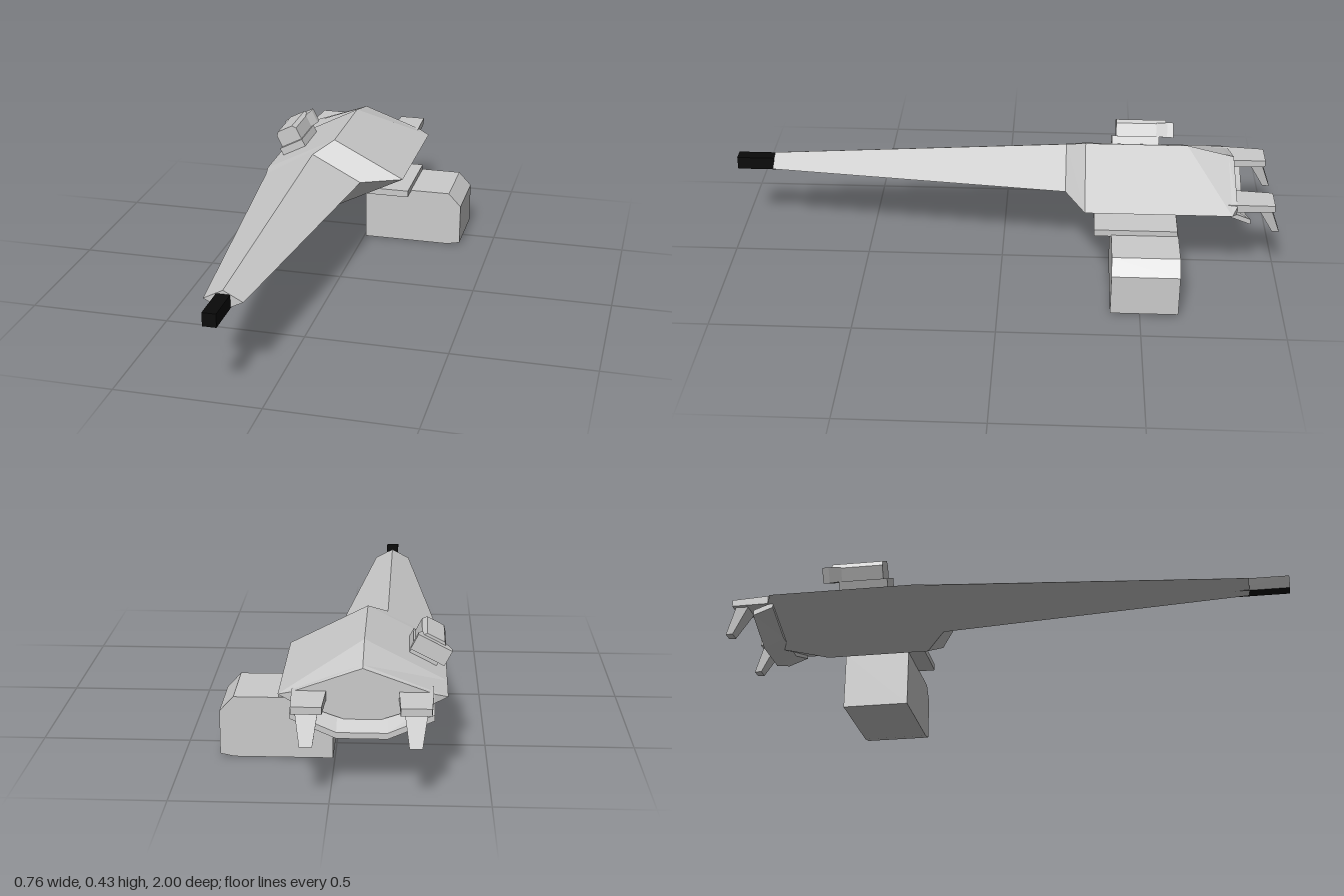
import * as THREE from 'three';

const grey = new THREE.MeshStandardMaterial({ color: 0xcccccc, flatShading: true });
const black = new THREE.MeshStandardMaterial({ color: 0x0a0a0a, flatShading: true });
const CX = -0.097; // centre line of the hull

// Skins a row of sections { z, ring }, front to back; rings run counter-clockwise seen from +z
function loft(name, sections, material = grey) {
  const pos = [];
  const put = (s, j) => pos.push(...s.ring[j % s.ring.length], s.z);
  const n = sections[0].ring.length;
  for (let i = 0; i + 1 < sections.length; i++) {
    const a = sections[i], b = sections[i + 1];
    for (let j = 0; j < n; j++) {
      put(a, j); put(b, j); put(a, j + 1);
      put(a, j + 1); put(b, j); put(b, j + 1);
    }
  }
  const cap = (s, order) => {
    const tris = THREE.ShapeUtils.triangulateShape(s.ring.map(([x, y]) => new THREE.Vector2(x, y)), []);
    for (const t of tris) for (const k of order) put(s, t[k]);
  };
  cap(sections[0], [0, 1, 2]);
  cap(sections[sections.length - 1], [0, 2, 1]);
  const geo = new THREE.BufferGeometry();
  geo.setAttribute('position', new THREE.Float32BufferAttribute(pos, 3));
  geo.computeVertexNormals();
  const mesh = new THREE.Mesh(geo, material);
  mesh.name = name;
  return mesh;
}

const rect = (x0, x1, y0, y1) => [[x0, y0], [x1, y0], [x1, y1], [x0, y1]];

function box(name, x0, x1, y0, y1, z0, z1, material = grey) {
  const mesh = new THREE.Mesh(new THREE.BoxGeometry(x1 - x0, y1 - y0, z1 - z0), material);
  mesh.position.set((x0 + x1) / 2, (y0 + y1) / 2, (z0 + z1) / 2);
  mesh.name = name;
  return mesh;
}

// Diamond hull section whose side corners can be clipped by side half-height e
function diamond(z, cx, w, top, bottom, e = 0) {
  const y = 0.29;
  return { z, ring: [[cx + w, y - e], [cx + w, y + e], [cx, top], [cx - w, y + e], [cx - w, y - e], [cx, bottom]] };
}

// Tail plate with a slanted claw below its end
function tailClaw(x) {
  const g = new THREE.Group();
  g.name = 'tailClaw';
  g.add(loft('clawPlate', [
    { z: -0.78, ring: rect(-0.054, 0.054, 0.28, 0.31) },
    { z: -0.84, ring: rect(-0.054, 0.054, 0.28, 0.31) },
    { z: -0.975, ring: rect(-0.048, 0.048, 0.282, 0.306) },
  ]));
  const claw = loft('claw', [
    { z: 0.29, ring: rect(-0.036, 0.036, 0.915, 0.962) },
    { z: 0.185, ring: rect(-0.02, 0.02, 0.975, 1.0) },
  ]);
  claw.rotation.x = -Math.PI / 2;
  g.add(claw);
  g.position.x = x;
  return g;
}

// Small turret standing on the upper right hull face
function turret() {
  const g = new THREE.Group();
  g.name = 'turret';
  g.add(box('turretBase', -0.05, 0.05, -0.02, 0.03, -0.575, -0.4));
  const head = (w) => [[-w, 0.028], [w, 0.028], [w, 0.078], [w - 0.012, 0.092], [-w + 0.012, 0.092], [-w, 0.078]];
  g.add(loft('turretHead', [{ z: -0.415, ring: head(0.044) }, { z: -0.6, ring: head(0.044) }]));
  g.add(loft('turretHood', [
    { z: -0.565, ring: rect(-0.044, 0.044, 0.03, 0.08) },
    { z: -0.605, ring: rect(-0.064, 0.06, 0.027, 0.083) },
    { z: -0.628, ring: rect(-0.064, 0.06, 0.027, 0.083) },
  ]));
  g.position.set(-0.285, 0.33, 0);
  g.rotation.z = Math.atan2(0.137, 0.265);
  return g;
}

// Lower tail lip: a shallow trough flaring down and back
function lipRing(endY, midY, t) {
  const outer = [[-0.225, endY], [-0.08, midY], [0.08, midY], [0.225, endY]];
  const inner = outer.map(([x, y]) => [x, y + t]).reverse();
  return [...outer, ...inner].map(([x, y]) => [x + CX, y]);
}

export function createModel() {
  const model = new THREE.Group();
  model.name = 'craft';

  // Long nose and rear hull, slightly offset from each other
  model.add(loft('hull', [
    diamond(0.86, -0.165, 0.067, 0.325, 0.256),
    diamond(-0.23, -0.165, 0.186, 0.387, 0.195),
    diamond(-0.3, CX, 0.267, 0.427, 0.155),
    diamond(-0.67, CX, 0.267, 0.427, 0.155),
    diamond(-0.82, CX, 0.267, 0.391, 0.193),
    diamond(-0.84, CX, 0.225, 0.386, 0.198, 0.015),
  ]));
  model.add(box('noseBarrel', -0.188, -0.141, 0.265, 0.312, 0.76, 1, black));

  // Tail
  model.add(loft('tailLip', [
    { z: -0.82, ring: lipRing(0.262, 0.208, 0.02) },
    { z: -0.89, ring: lipRing(0.235, 0.172, 0.02) },
  ]));
  for (const side of [-1, 1]) model.add(tailClaw(CX + side * 0.168));

  model.add(turret());

  // Side pod hung under the left hull edge
  model.add(box('podPylon', 0.0, 0.184, 0.205, 0.23, -0.63, -0.335));
  const pod = [[0.006, 0], [0.333, 0], [0.38, 0.01], [0.38, 0.16], [0.333, 0.21], [0.006, 0.21]];
  model.add(loft('sidePod', [{ z: -0.396, ring: pod }, { z: -0.634, ring: pod }]));

  return model;
}
